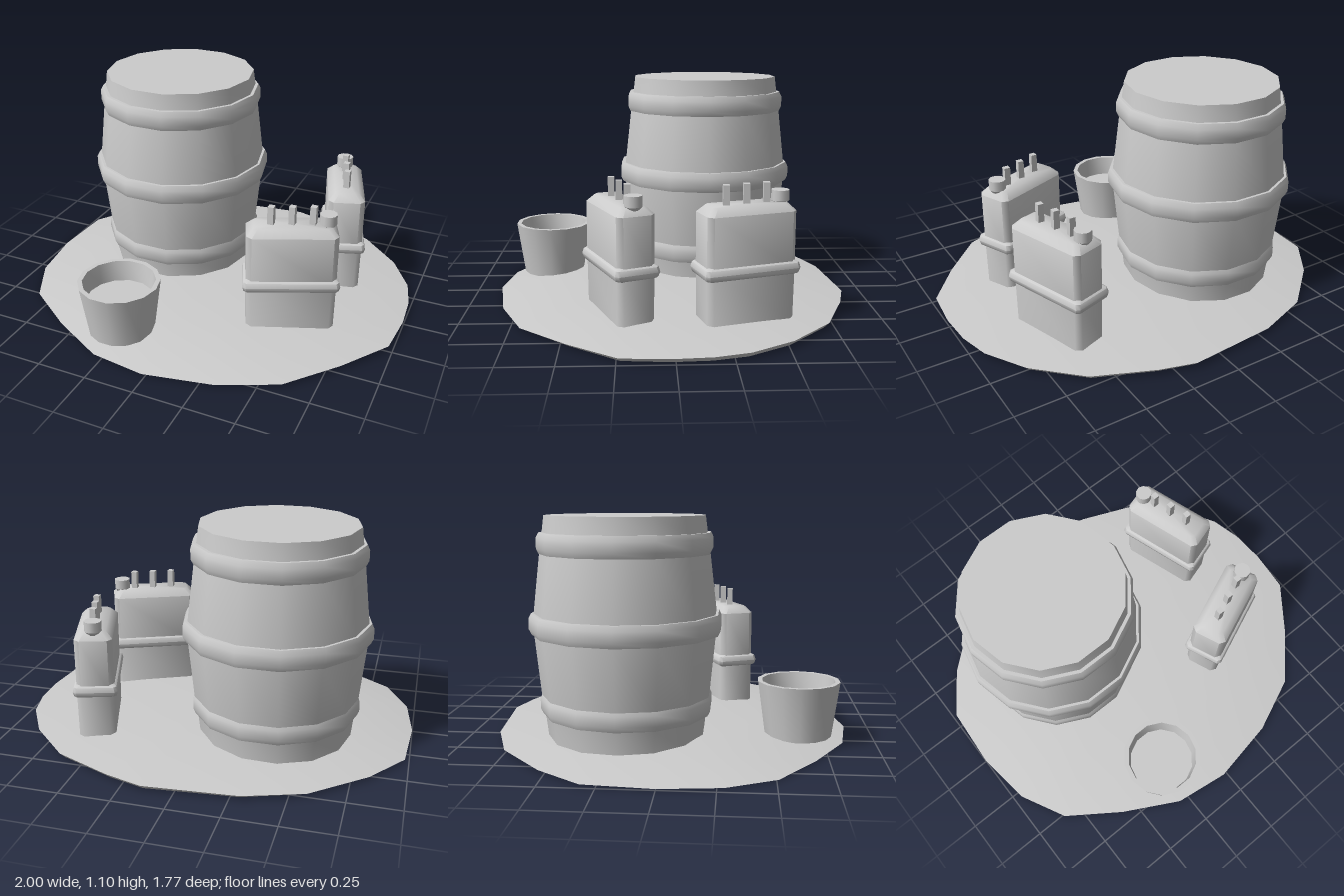
import * as THREE from 'three';
import { toCreasedNormals } from 'three/addons/utils/BufferGeometryUtils.js';

const SIDES = 14;

export function createModel() {
  const root = new THREE.Group();
  root.name = 'barrelAndCans';
  const grey = new THREE.MeshStandardMaterial({ color: 0xcccccc });
  grey.name = 'plainGrey';

  function add(parent, name, geometry, x = 0, y = 0, z = 0) {
    const mesh = new THREE.Mesh(geometry, grey);
    mesh.name = name;
    mesh.position.set(x, y, z);
    parent.add(mesh);
    return mesh;
  }

  // Turned part from [radius, height] pairs, listed from the bottom outwards
  function turned(profile) {
    const points = profile.map(([r, y]) => new THREE.Vector2(r, y));
    return toCreasedNormals(new THREE.LatheGeometry(points, SIDES, Math.PI / 2), 0.75);
  }

  // Skin over rings of [x, y, z] points, each ring closed at the ends with a fan
  function loft(rings, crease) {
    const n = rings[0].length;
    const verts = rings.flat();
    const index = [];
    for (let r = 0; r < rings.length - 1; r++) {
      for (let i = 0; i < n; i++) {
        const a = r * n + i, b = r * n + (i + 1) % n;
        index.push(a, b, a + n, b, b + n, a + n);
      }
    }
    [0, rings.length - 1].forEach((r, end) => {
      const centre = verts.length;
      verts.push([0, 1, 2].map(k => rings[r].reduce((s, p) => s + p[k], 0) / n));
      for (let i = 0; i < n; i++) {
        const a = r * n + i, b = r * n + (i + 1) % n;
        if (end) index.push(centre, a, b); else index.push(centre, b, a);
      }
    });
    const g = new THREE.BufferGeometry();
    g.setAttribute('position', new THREE.Float32BufferAttribute(verts.flat(), 3));
    g.setIndex(index);
    return toCreasedNormals(g, crease);
  }

  // Rectangle with cut corners, at height y
  function cutRect(hx, hz, c, y) {
    return [
      [hx, y, hz - c], [hx, y, c - hz], [hx - c, y, -hz], [c - hx, y, -hz],
      [-hx, y, c - hz], [-hx, y, hz - c], [c - hx, y, hz], [hx - c, y, hz],
    ];
  }

  // Low uneven mound of ground
  const outline = [
    [-1, 0], [-0.96, 0.28], [-0.84, 0.51], [-0.58, 0.69], [-0.3, 0.84], [-0.02, 0.88],
    [0.32, 0.82], [0.6, 0.7], [0.81, 0.47], [0.98, 0.24], [1, 0.02], [0.99, -0.16],
    [0.95, -0.32], [0.83, -0.52], [0.62, -0.72], [0.33, -0.84], [0.15, -0.89],
    [-0.3, -0.85], [-0.58, -0.75], [-0.83, -0.53], [-0.98, -0.32],
  ];
  const groundRing = (s, y, tilt) => outline.map(([x, z]) => [x * s, y + tilt * (x - z), z * s]);
  add(root, 'ground', loft([
    groundRing(0.97, 0, 0), groundRing(1, 0.016, 0.01),
    groundRing(0.8, 0.042, 0.004), groundRing(0.5, 0.062, 0), groundRing(0.2, 0.07, 0),
  ], 0.6));

  // Barrel with three hoops
  const barrel = new THREE.Group();
  barrel.name = 'barrel';
  barrel.position.set(-0.325, 0, -0.205);
  root.add(barrel);
  add(barrel, 'barrelBody', turned([
    [0, 0.04], [0.38, 0.04], [0.393, 0.15], [0.41, 0.25], [0.44, 0.54], [0.44, 0.64],
    [0.408, 0.92], [0.394, 1.02], [0.384, 1.1], [0, 1.1],
  ]));
  [[0.417, 0.155], [0.465, 0.54], [0.422, 0.92]].forEach(([R, y]) => {
    const h = 0.1;
    add(barrel, 'barrelHoop', turned([
      [R - 0.05, y], [R - 0.012, y], [R, y + 0.025], [R, y + h - 0.025],
      [R - 0.012, y + h], [R - 0.05, y + h],
    ]));
  });

  // Open bucket with a raised inner floor
  add(root, 'bucket', turned([
    [0, 0.035], [0.163, 0.035], [0.201, 0.305], [0.178, 0.305], [0.165, 0.2], [0, 0.2],
  ]), -0.265, 0, 0.625);

  // Fuel can: chamfered body, belt, cap and three pegs
  function addCan(x, z, degrees) {
    const can = new THREE.Group();
    const angle = THREE.MathUtils.degToRad(degrees);
    can.name = 'can';
    can.position.set(x, 0, z);
    can.rotation.y = angle;
    root.add(can);
    add(can, 'canBody', loft([
      cutRect(0.215, 0.09, 0.025, 0.045), cutRect(0.218, 0.092, 0.025, 0.29),
      cutRect(0.218, 0.092, 0.025, 0.55), cutRect(0.185, 0.06, 0.02, 0.585),
    ], 0.85));
    add(can, 'canBelt', loft([
      cutRect(0.21, 0.085, 0.015, 0.255), cutRect(0.228, 0.103, 0.015, 0.265),
      cutRect(0.234, 0.109, 0.015, 0.288), cutRect(0.228, 0.103, 0.015, 0.312),
      cutRect(0.21, 0.085, 0.015, 0.322),
    ], 0.85));
    add(can, 'canCap', new THREE.CylinderGeometry(0.042, 0.042, 0.05, 10), 0.17, 0.612, 0);
    add(can, 'canNeck', new THREE.CylinderGeometry(0.042, 0.025, 0.025, 10), 0.17, 0.576, 0);
    for (const px of [-0.1, 0, 0.1]) {
      add(can, 'canPeg', new THREE.BoxGeometry(0.03, 0.12, 0.03), px, 0.616, 0).rotation.y = -angle;
    }
  }
  addCan(0.47, 0.243, 23);
  addCan(0.566, -0.334, 108);

  return root;
}
